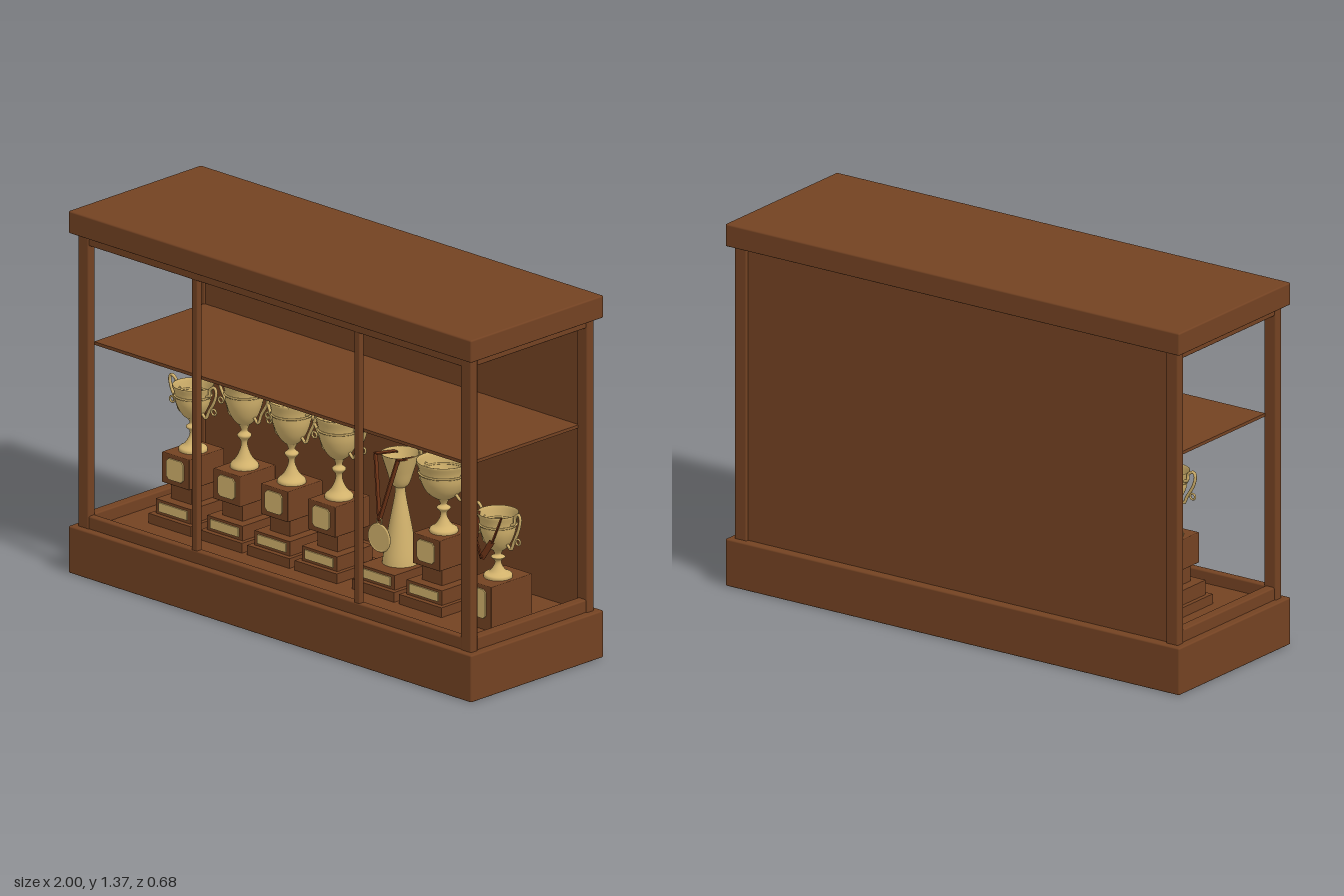
import * as THREE from 'three';
import { RoundedBoxGeometry } from 'three/addons/geometries/RoundedBoxGeometry.js';

const mat = (name, color, side = THREE.FrontSide) => {
  const m = new THREE.MeshStandardMaterial({ color, side });
  m.name = name;
  return m;
};

export function createModel() {
  const root = new THREE.Group();
  root.name = 'trophyCabinet';
  const wood = mat('wood', 0x734222);
  const gold = mat('gold', 0xd2b26c, THREE.DoubleSide);
  const ribbonMat = mat('ribbon', 0x6b3216);

  const add = (parent, name, geo, material, x = 0, y = 0, z = 0) => {
    const m = new THREE.Mesh(geo, material);
    m.name = name;
    m.position.set(x, y, z);
    parent.add(m);
    return m;
  };
  // Box given by its limits, optionally with softened edges
  const box = (parent, name, x0, x1, y0, y1, z0, z1, material = wood, r = 0) => {
    const s = [x1 - x0, y1 - y0, z1 - z0];
    const geo = r ? new RoundedBoxGeometry(...s, 2, r) : new THREE.BoxGeometry(...s);
    return add(parent, name, geo, material, (x0 + x1) / 2, (y0 + y1) / 2, (z0 + z1) / 2);
  };

  // Cabinet carcass
  const cabinet = new THREE.Group();
  cabinet.name = 'cabinet';
  root.add(cabinet);
  box(cabinet, 'base', -1, 1, 0, 0.178, -0.34, 0.34, wood, 0.006);
  box(cabinet, 'top', -1, 1, 1.285, 1.37, -0.34, 0.34, wood, 0.006);
  box(cabinet, 'backPanel', -0.93, 0.93, 0.17, 1.29, -0.305, -0.285);
  box(cabinet, 'shelf', -0.93, 0.93, 0.865, 0.877, -0.286, 0.28);
  for (const s of [-1, 1]) {
    const x = s * 0.95;
    for (const z of [-0.298, 0.298])
      box(cabinet, 'cornerPost', x - 0.026, x + 0.026, 0.17, 1.29, z - 0.018, z + 0.018, wood, 0.006);
    box(cabinet, 'sideBottomRail', x - 0.02, x + 0.02, 0.17, 0.225, -0.29, 0.29, wood, 0.006);
    box(cabinet, 'sideTopRail', x - 0.02, x + 0.02, 1.252, 1.29, -0.29, 0.29, wood, 0.006);
    box(cabinet, 'frontDivider', s * 0.403 - 0.014, s * 0.403 + 0.014, 0.2, 1.27, 0.286, 0.31, wood, 0.004);
  }
  box(cabinet, 'frontBottomRail', -0.94, 0.94, 0.17, 0.225, 0.282, 0.312, wood, 0.006);
  box(cabinet, 'frontTopRail', -0.94, 0.94, 1.247, 1.29, 0.282, 0.312, wood, 0.006);

  const lathe = (pts) =>
    new THREE.LatheGeometry(new THREE.SplineCurve(pts.map((p) => new THREE.Vector2(...p))).getPoints(40), 28);

  // Engraved plate with cut corners
  const plaque = (parent, w, h, y, z) => {
    const c = 0.012, a = w / 2, b = h / 2;
    const shape = new THREE.Shape([[-a + c, -b], [a - c, -b], [a, -b + c], [a, b - c], [a - c, b], [-a + c, b], [-a, b - c], [-a, -b + c]]
      .map((p) => new THREE.Vector2(...p)));
    add(parent, 'plaque', new THREE.ExtrudeGeometry(shape, { depth: 0.005, bevelEnabled: false }), gold, 0, y, z);
  };

  // Bell shaped bowl on a knobbed stem with a flared foot
  const cup = (parent, foot, rim, r, depth) => {
    const b = rim - depth, n = b - foot;
    add(parent, 'stem', lathe([[0.052, foot], [0.05, foot + 0.012], [0.03, foot + n * 0.22], [0.014, foot + n * 0.45],
      [0.013, foot + n * 0.62], [0.026, foot + n * 0.75], [0.012, foot + n * 0.86], [0.022, b + 0.004]]), gold);
    add(parent, 'bowl', lathe([[0.001, b], [0.025, b + 0.004], [r * 0.62, b + depth * 0.22], [r * 0.83, b + depth * 0.5],
      [r * 0.9, b + depth * 0.8], [r, rim], [r * 0.94, rim - 0.003], [r * 0.78, b + depth * 0.5], [0.02, b + 0.015], [0.001, b + 0.012]]), gold);
    add(parent, 'bowlBand', new THREE.TorusGeometry(r * 0.9, 0.004, 6, 28).rotateX(Math.PI / 2), gold, 0, b + depth * 0.72, 0);
  };

  // Scrolled handles mirrored on both sides
  const handles = (parent, rim, r, depth, reach) => {
    for (const s of [-1, 1]) {
      const pts = [[r * 0.62, -0.78], [r * 0.85, -0.88], [r * 1.05, -0.66], [reach * 0.92, -0.3], [reach, 0],
        [reach * 0.93, 0.12], [r * 1.12, 0.02], [r * 1.08, -0.16], [r * 0.88, -0.22]]
        .map(([x, y]) => new THREE.Vector3(s * x, rim + y * depth, 0));
      add(parent, 'handle', new THREE.TubeGeometry(new THREE.CatmullRomCurve3(pts), 36, 0.006, 7), gold);
      add(parent, 'handleScroll', new THREE.TorusGeometry(0.011, 0.004, 6, 14), gold, s * reach * 0.9, rim - depth * 0.62, 0);
    }
  };

  // Flat ribbon between two points
  const strip = (parent, a, b, w) => {
    const p = new THREE.Vector3(...a), q = new THREE.Vector3(...b), d = q.clone().sub(p);
    const m = add(parent, 'ribbon', new THREE.BoxGeometry(w, d.length(), 0.005), ribbonMat);
    m.position.copy(p).add(q).multiplyScalar(0.5);
    m.quaternion.setFromUnitVectors(new THREE.Vector3(0, 1, 0), d.normalize());
  };

  const trophy = (name, x) => {
    const g = new THREE.Group();
    g.name = name;
    g.position.x = x;
    root.add(g);
    return g;
  };

  // Stepped plinth with a name plate
  const plinth = (g) => {
    box(g, 'plinthFoot', -0.105, 0.105, 0.175, 0.215, -0.1, 0.12);
    box(g, 'plinthStep', -0.088, 0.088, 0.215, 0.27, -0.08, 0.1);
    box(g, 'namePlate', -0.07, 0.07, 0.226, 0.26, 0.1, 0.105, gold);
  };

  // Cups on tall plinths: x, rim height, bowl radius, bowl depth, handle reach, lidded
  const cups = [
    [-0.71, 0.695, 0.075, 0.125, 0.115, false],
    [-0.455, 0.775, 0.08, 0.165, 0.13, false],
    [-0.22, 0.755, 0.082, 0.16, 0.125, true],
    [0.015, 0.755, 0.085, 0.16, 0.135, false],
    [0.535, 0.715, 0.1, 0.145, 0.12, false],
  ];
  for (const [x, rim, r, depth, reach, lid] of cups) {
    const g = trophy('trophy', x);
    plinth(g);
    box(g, 'plinthNeck', -0.05, 0.05, 0.27, 0.34, -0.06, 0.06);
    box(g, 'plinthBlock', -0.068, 0.068, 0.335, 0.45, -0.09, 0.09, wood, 0.003);
    plaque(g, 0.085, 0.08, 0.395, 0.09);
    cup(g, 0.45, rim, r, depth);
    handles(g, rim, r, depth, reach);
    if (lid)
      add(g, 'lid', lathe([[r, rim], [r * 0.75, rim + 0.015], [0.03, rim + 0.03], [0.01, rim + 0.045],
        [0.016, rim + 0.06], [0.013, rim + 0.075], [0.001, rim + 0.083]]), gold);
  }

  // Cone stemmed cup with a hanging medal
  const medalCup = trophy('medalTrophy', 0.3);
  plinth(medalCup);
  add(medalCup, 'coneStem', lathe([[0.065, 0.27], [0.06, 0.31], [0.04, 0.42], [0.02, 0.53], [0.022, 0.57]]), gold, 0, 0, -0.02);
  add(medalCup, 'bowl', lathe([[0.001, 0.55], [0.03, 0.565], [0.05, 0.62], [0.07, 0.685], [0.045, 0.62], [0.001, 0.565]]), gold, 0, 0, -0.02);
  for (const s of [-1, 1]) {
    strip(medalCup, [s * 0.055, 0.685, 0.05], [0.012, 0.46, 0.1], 0.024);
    strip(medalCup, [s * 0.055, 0.685, 0.05], [s * 0.05, 0.67, -0.05], 0.02);
  }
  add(medalCup, 'medal', new THREE.CylinderGeometry(0.052, 0.052, 0.008, 28).rotateX(Math.PI / 2), gold, 0.012, 0.395, 0.1);
  add(medalCup, 'medalRim', new THREE.TorusGeometry(0.05, 0.005, 6, 28), gold, 0.012, 0.395, 0.1);
  add(medalCup, 'medalRing', new THREE.TorusGeometry(0.012, 0.003, 6, 14), gold, 0.012, 0.458, 0.1);

  // Small cup on a single block, draped with ribbon
  const small = trophy('smallTrophy', 0.805);
  box(small, 'plinthBlock', -0.068, 0.068, 0.175, 0.345, -0.105, 0.105, wood, 0.003);
  plaque(small, 0.085, 0.11, 0.275, 0.105);
  cup(small, 0.345, 0.585, 0.075, 0.14);
  handles(small, 0.585, 0.075, 0.14, 0.11);
  for (const s of [-1, 1]) {
    strip(small, [s * 0.06, 0.59, 0.045], [s * 0.042, 0.5, 0.075], 0.022);
    strip(small, [s * 0.042, 0.505, 0.075], [0, 0.435, 0.085], 0.022);
  }
  return root;
}
